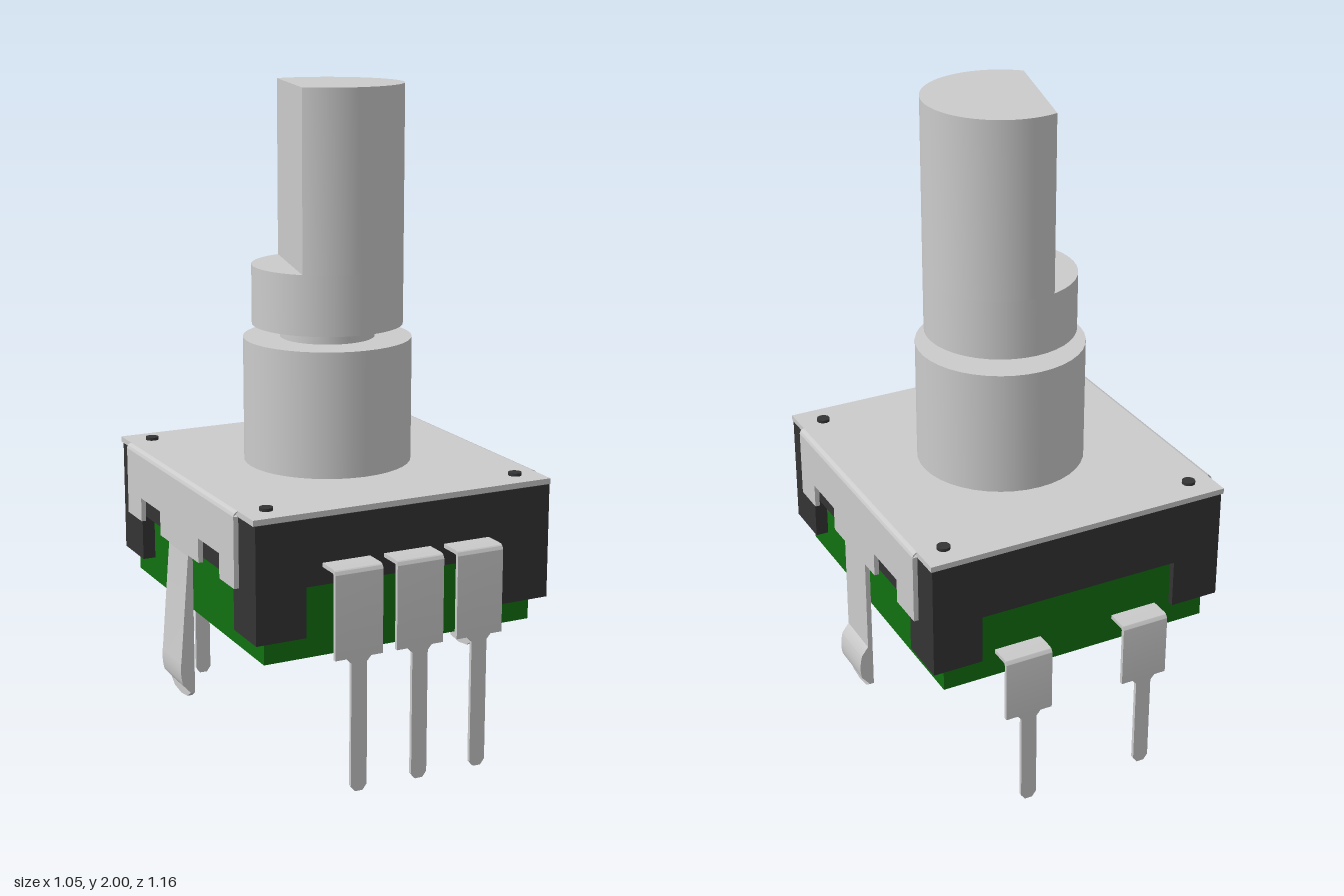
import * as THREE from 'three';
import { toCreasedNormals } from 'three/addons/utils/BufferGeometryUtils.js';

const metal = new THREE.MeshStandardMaterial({ color: 0xcccccc });
const black = new THREE.MeshStandardMaterial({ color: 0x343434 });
const green = new THREE.MeshStandardMaterial({ color: 0x107010 });
const CZ = -0.017; // centre of the shaft and housing in z

export function createModel() {
  const model = new THREE.Group();

  const add = (name, geometry, material, parent = model) => {
    const mesh = new THREE.Mesh(geometry, material);
    mesh.name = name;
    parent.add(mesh);
    return mesh;
  };
  // Box given by its limits
  const box = (name, material, x0, x1, y0, y1, z0, z1) =>
    add(name, new THREE.BoxGeometry(x1 - x0, y1 - y0, z1 - z0)
      .translate((x0 + x1) / 2, (y0 + y1) / 2, (z0 + z1) / 2), material);
  // Upright cylinder given by its limits
  const rod = (name, material, r, y0, y1, x = 0, z = CZ, sides = 40) =>
    add(name, new THREE.CylinderGeometry(r, r, y1 - y0, sides)
      .translate(x, (y0 + y1) / 2, z), material);
  const extrude = (shape, depth) => toCreasedNormals(
    new THREE.ExtrudeGeometry(shape, { depth, bevelEnabled: false, curveSegments: 32 }), 0.5);
  const polygon = (points) => new THREE.Shape(points.map(([x, y]) => new THREE.Vector2(x, y)));

  // Housing: black block on four corner posts, around a green base
  box('housing', black, -0.475, 0.475, 0.65, 0.848, -0.525, 0.498);
  for (const s of [-1, 1]) {
    const [x0, x1] = s < 0 ? [-0.475, -0.32] : [0.32, 0.475];
    box('frontPost', black, x0, x1, 0.5, 0.65, 0.345, 0.498);
    box('backPost', black, x0, x1, 0.5, 0.65, -0.525, -0.37);
  }
  box('base', green, -0.435, 0.435, 0.425, 0.65, -0.505, 0.46);

  // Cover plate with four rivet dots
  box('coverPlate', metal, -0.48, 0.48, 0.848, 0.865, -0.53, 0.495);
  for (const x of [-0.405, 0.405])
    for (const z of [-0.453, 0.417]) rod('rivet', black, 0.02, 0.84, 0.874, x, z, 20);

  // Bushing, neck and shaft
  rod('bushing', metal, 0.255, 0.86, 1.245);
  rod('neck', metal, 0.143, 1.24, 1.29);
  rod('shaftLower', metal, 0.228, 1.285, 1.465);
  const dShape = new THREE.Shape();
  dShape.absarc(0, 0, 0.228, THREE.MathUtils.degToRad(225.4), THREE.MathUtils.degToRad(465.4), false);
  dShape.closePath();
  add('shaftFlatted', extrude(dShape, 0.535).rotateX(-Math.PI / 2).translate(0, 1.465, CZ), metal);

  // Side flanges with notches and a central round-ended leg (drawn along -z)
  const flange = polygon([
    [-0.395, 0.85], [-0.395, 0.64], [-0.29, 0.64], [-0.29, 0.715], [-0.135, 0.715], [-0.135, 0.64],
    [-0.055, 0.64], [-0.055, 0.205], [-0.03, 0.187], [0.02, 0.18], [0.07, 0.187], [0.095, 0.205],
    [0.095, 0.64], [0.165, 0.64], [0.165, 0.715], [0.325, 0.715], [0.325, 0.64],
    [0.44, 0.64], [0.44, 0.85],
  ]);
  for (const s of [-1, 1]) {
    add('sideFlange', extrude(flange, 0.015).rotateY(Math.PI / 2)
      .translate(s > 0 ? 0.48 : -0.495, 0, 0), metal);
    const bend = new THREE.Shape();
    bend.moveTo(0, 0);
    bend.absarc(0, 0, 0.015, s > 0 ? 0 : Math.PI / 2, s > 0 ? Math.PI / 2 : Math.PI, false);
    add('flangeBend', extrude(bend, 0.835).translate(s * 0.48, 0.85, -0.44), metal);
  }

  // Spring bulges on the legs: a short one on the left, a long sloping one on the right
  const bulge = (name, side, start, corner) => {
    const shape = new THREE.Shape();
    shape.moveTo(side * 0.485, start);
    shape.lineTo(side * 0.493, start);
    shape.lineTo(side * corner[0], corner[1]);
    shape.quadraticCurveTo(side * 0.528, 0.27, side * 0.518, 0.235);
    shape.lineTo(side * 0.493, 0.205);
    shape.lineTo(side * 0.485, 0.205);
    add(name, extrude(shape, 0.15).translate(0, 0, -0.095), metal);
  };
  bulge('leftLegBulge', 1, 0.345, [0.516, 0.315]);
  bulge('rightLegBulge', -1, 0.66, [0.522, 0.31]);

  // Contact leads: a bent tab carrying a narrow pin
  const T = 0.012, R = 0.018;
  const lead = (name, x, top, shoulder, tip, back) => {
    const group = new THREE.Group();
    group.name = name;
    const out = 0.579;
    const tab = new THREE.Shape();
    tab.moveTo(0.45, top);
    tab.lineTo(0.45, top - T);
    tab.lineTo(out - R, top - T);
    tab.absarc(out - R, top - R, R - T, Math.PI / 2, 0, true);
    tab.lineTo(out - T, shoulder);
    tab.lineTo(out, shoulder);
    tab.lineTo(out, top - R);
    tab.absarc(out - R, top - R, R, 0, Math.PI / 2, false);
    add('tab', extrude(tab, 0.15).rotateY(-Math.PI / 2).translate(0.075, 0, 0), metal, group);
    const pin = polygon([
      [-0.038, shoulder], [-0.025, shoulder - 0.015], [-0.025, tip + 0.02], [-0.012, tip + 0.003],
      [0.012, tip + 0.003], [0.025, tip + 0.02], [0.025, shoulder - 0.015], [0.038, shoulder],
    ]);
    add('pin', extrude(pin, T).translate(0, 0, out - T), metal, group);
    group.position.x = x;
    if (back) group.rotation.y = Math.PI;
    model.add(group);
  };
  for (const x of [-0.195, 0, 0.195]) lead('frontLead', x, 0.715, 0.45, 0.042, false);
  for (const x of [-0.195, 0.195]) lead('backLead', x, 0.513, 0.31, -0.003, true);

  return model;
}
